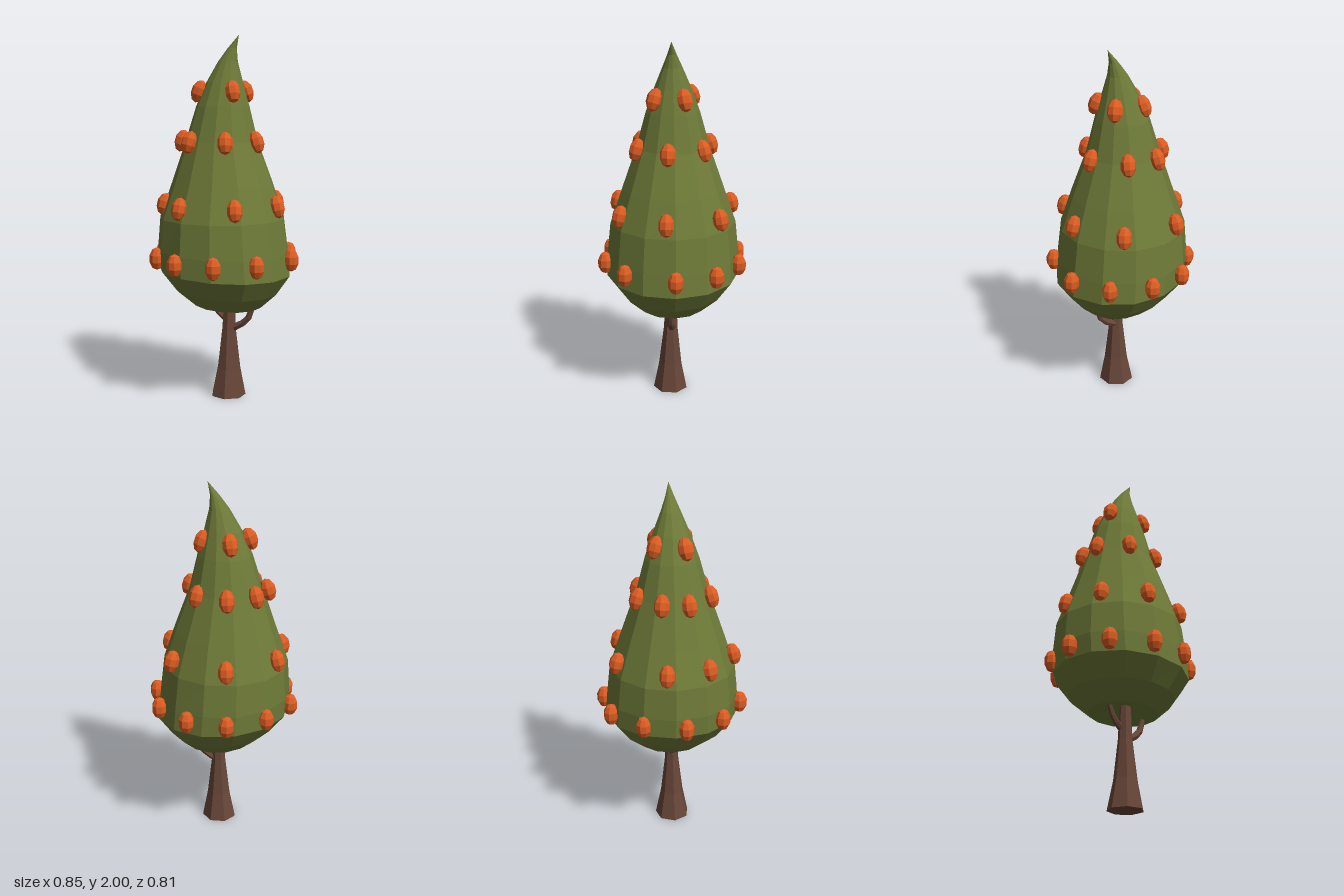
import * as THREE from 'three';

const material = (name, color) => {
  const m = new THREE.MeshStandardMaterial({ color, flatShading: true });
  m.name = name;
  return m;
};

// Skin over rings [y, centreX, centreZ, radius, slope along x], listed bottom to top
function loft(rings, sides, turn = 0) {
  const pos = [];
  const point = ([y, cx, cz, r, slope = 0], i) => {
    const a = turn + (i / sides) * Math.PI * 2;
    const dx = r * Math.sin(a);
    return [cx + dx, y + slope * dx, cz + r * Math.cos(a)];
  };
  for (let k = 0; k < rings.length - 1; k++) {
    const lo = rings[k], up = rings[k + 1];
    for (let i = 0; i < sides; i++) {
      const a = point(lo, i), b = point(lo, i + 1), c = point(up, i + 1), d = point(up, i);
      if (lo[3] > 0) pos.push(...a, ...b, ...c);
      if (up[3] > 0) pos.push(...a, ...c, ...d);
      else if (lo[3] === 0) continue;
    }
  }
  const g = new THREE.BufferGeometry();
  g.setAttribute('position', new THREE.Float32BufferAttribute(pos, 3));
  g.computeVertexNormals();
  return g;
}

// Curved branch that narrows towards its end
function branchGeometry(points, r0, r1) {
  const curve = new THREE.CatmullRomCurve3(points.map(p => new THREE.Vector3(...p)));
  const steps = 5, sides = 6;
  const g = new THREE.TubeGeometry(curve, steps, 1, sides);
  const p = g.attributes.position, v = new THREE.Vector3();
  for (let i = 0; i < p.count; i++) {
    const t = Math.floor(i / (sides + 1)) / steps;
    const c = curve.getPointAt(t);
    v.fromBufferAttribute(p, i).sub(c).multiplyScalar(r0 + (r1 - r0) * t).add(c);
    p.setXYZ(i, v.x, v.y, v.z);
  }
  g.computeVertexNormals();
  return g;
}

export function createModel() {
  const tree = new THREE.Group();
  tree.name = 'fruitTree';
  const green = material('leaf green', 0x6e7a38);
  const brown = material('bark brown', 0x684639);
  const orange = material('fruit orange', 0xdc5c22);
  const add = (name, geometry, mat, parent = tree) => {
    const mesh = new THREE.Mesh(geometry, mat);
    mesh.name = name;
    parent.add(mesh);
    return mesh;
  };

  // Crown: hollow underside, wide rim, tip bent to one side
  add('crown', loft([
    [0.57, 0.03, 0, 0],
    [0.52, 0.02, 0, 0.19, -0.055],
    [0.605, 0.01, 0, 0.288, -0.055],
    [0.715, 0.003, 0, 0.37, -0.05],
    [0.83, -0.006, 0, 0.367, -0.03],
    [1.01, -0.012, 0, 0.348],
    [1.2, -0.011, 0, 0.282],
    [1.43, -0.016, 0, 0.2],
    [1.62, -0.009, 0, 0.147],
    [1.75, 0.002, 0, 0.1],
    [1.86, 0.021, 0, 0.054],
    [1.93, 0.046, 0, 0.025],
    [2.0, 0.085, 0, 0],
  ], 13, Math.PI), green);

  // Trunk flaring to the ground
  add('trunk', loft([
    [0, 0.028, 0.01, 0],
    [0, 0.028, 0.01, 0.098],
    [0.16, 0.03, 0.01, 0.066],
    [0.38, 0.03, 0.008, 0.04],
    [0.6, 0.034, 0.005, 0.03],
  ], 7, 0.2), brown);
  add('leftBranch', branchGeometry(
    [[0.03, 0.38, 0], [0.09, 0.405, 0], [0.145, 0.45, 0], [0.175, 0.54, 0]], 0.024, 0.014), brown);
  add('rightBranch', branchGeometry(
    [[0.03, 0.43, 0], [-0.02, 0.455, 0], [-0.06, 0.5, 0], [-0.085, 0.57, 0]], 0.02, 0.012), brown);

  // Fruits in four rows, leaning with the slope of the crown
  const rows = [
    { y: 0.79, lean: 0, at: [[-0.135, -0.36], [0.085, -0.37], [0.285, -0.255], [0.38, -0.045], [0.295, 0.235],
      [0.105, 0.365], [-0.12, 0.365], [-0.305, 0.225], [-0.385, 0.01], [-0.31, -0.21]] },
    { y: 1.085, lean: 0.25, at: [[-0.12, -0.32], [0.2, -0.27], [0.317, 0.01], [0.185, 0.27], [-0.115, 0.32],
      [-0.295, 0.15], [-0.33, -0.085]] },
    { y: 1.43, lean: 0.3, at: [[-0.085, -0.2], [0.09, -0.17], [0.195, 0.01], [0.09, 0.185], [-0.12, 0.19],
      [-0.235, 0.05], [-0.21, -0.09]] },
    { y: 1.7, lean: 0.35, at: [[-0.07, -0.1], [0.095, -0.07], [0.09, 0.09], [-0.13, 0.05]] },
  ];
  const fruitGeometry = new THREE.SphereGeometry(1, 8, 5).scale(0.043, 0.063, 0.043);
  const fruits = new THREE.Group();
  fruits.name = 'fruits';
  tree.add(fruits);
  for (const { y, lean, at } of rows) {
    for (const [x, z] of at) {
      const fruit = add('fruit', fruitGeometry, orange, fruits);
      fruit.position.set(x, y, z);
      fruit.rotation.set(-lean, Math.atan2(x, z), 0, 'YXZ');
    }
  }
  return tree;
}
